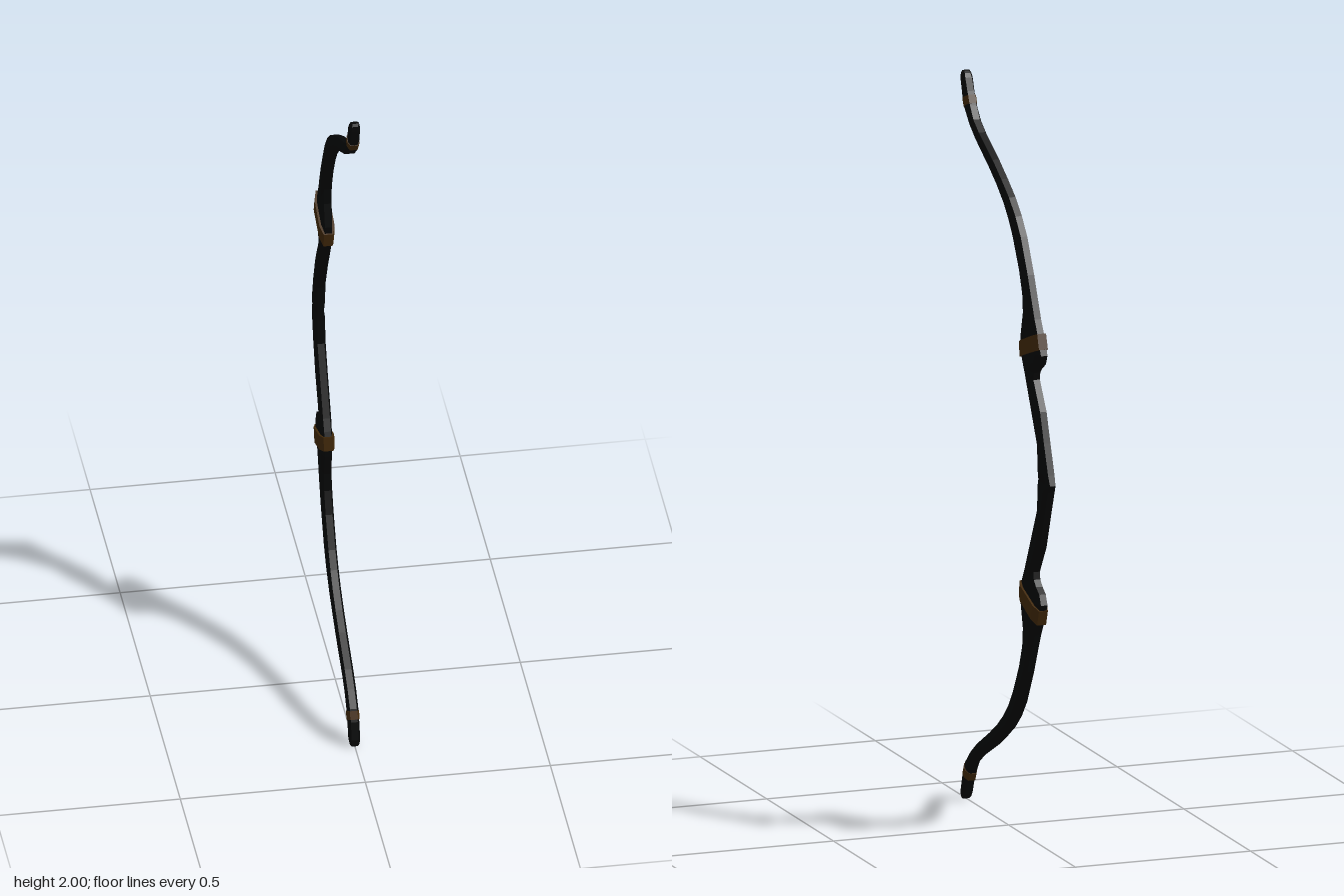
import * as THREE from 'three';

// Skin a chain of bevelled eight-sided sections.
// Each station: [belly z, belly y, back z, back y, half width]
function loft(stations) {
  const pos = [], index = [], n = 8;
  for (const [z0, y0, z1, y1, w] of stations) {
    const bevel = Math.min(0.3, 0.03 / Math.hypot(z1 - z0, y1 - y0));
    const ring = [[0, 0.62], [bevel, 1], [1 - bevel, 1], [1, 0.62],
      [1, -0.62], [1 - bevel, -1], [bevel, -1], [0, -0.62]];
    for (const [t, s] of ring) pos.push(s * w, y0 + (y1 - y0) * t, z0 + (z1 - z0) * t);
  }
  const last = (stations.length - 1) * n;
  for (let i = 0; i < last; i += n) {
    for (let j = 0; j < n; j++) {
      const a = i + j, b = i + (j + 1) % n;
      index.push(a, b, b + n, a, b + n, a + n);
    }
  }
  for (let j = 1; j < n - 1; j++) {
    index.push(0, j + 1, j, last, last + j, last + j + 1);
  }
  const geo = new THREE.BufferGeometry();
  geo.setAttribute('position', new THREE.Float32BufferAttribute(pos, 3));
  geo.setIndex(index);
  const flat = geo.toNonIndexed();
  flat.computeVertexNormals();
  return flat;
}

// Reflect stations downward; the lower half is slightly longer than the upper
const lowerY = (y) => (2 - y) * 1.022;
const mirror = (list) => list.map(([z0, y0, z1, y1, w]) => [z0, lowerY(y0), z1, lowerY(y1), w]).reverse();

export function createModel() {
  const black = new THREE.MeshStandardMaterial({ color: 0x060707, flatShading: true });
  black.name = 'black wood';
  const brown = new THREE.MeshStandardMaterial({ color: 0x432a0a, flatShading: true });
  brown.name = 'brown leather';
  const group = new THREE.Group();
  group.name = 'bow';
  const add = (name, stations, material) => {
    const mesh = new THREE.Mesh(loft(stations), material);
    mesh.name = name;
    group.add(mesh);
  };

  // Half of the grip, from the middle to the shoulder
  const grip = [
    [-0.242, 1.03, -0.32, 1.034, 0.015],
    [-0.237, 1.1, -0.289, 1.115, 0.015],
    [-0.195, 1.18, -0.26, 1.195, 0.015],
    [-0.145, 1.275, -0.21, 1.272, 0.015],
    [-0.127, 1.305, -0.213, 1.292, 0.015],
    [-0.119, 1.32, -0.23, 1.308, 0.015],
    [-0.115, 1.33, -0.254, 1.323, 0.015],
    [-0.113, 1.345, -0.267, 1.35, 0.015],
  ];
  // Limb, from the shoulder to the tip
  const limb = [
    [-0.114, 1.375, -0.24, 1.405, 0.015],
    [-0.131, 1.44, -0.219, 1.44, 0.015],
    [-0.126, 1.49, -0.195, 1.49, 0.015],
    [-0.102, 1.55, -0.167, 1.55, 0.015],
    [-0.055, 1.63, -0.115, 1.643, 0.015],
    [-0.022, 1.672, -0.075, 1.69, 0.015],
    [0.015, 1.708, -0.027, 1.731, 0.015],
    [0.062, 1.743, 0.031, 1.768, 0.015],
    [0.118, 1.777, 0.096, 1.806, 0.015],
    [0.215, 1.83, 0.199, 1.857, 0.015],
    [0.262, 1.862, 0.24, 1.883, 0.015],
    [0.302, 1.898, 0.265, 1.916, 0.015],
    [0.318, 1.93, 0.285, 1.951, 0.015],
    [0.331, 1.978, 0.3, 1.984, 0.015],
    [0.331, 1.993, 0.308, 1.995, 0.013],
    [0.326, 2.0, 0.316, 2.0, 0.01],
  ];
  const upper = [...grip, ...limb];
  add('bowBody', [...mirror(upper), [-0.243, 1.007, -0.331, 1.007, 0.0125], ...upper], black);

  // Bands around the shoulders and tips
  const shoulderBand = [
    [-0.115, 1.315, -0.261, 1.366, 0.0205],
    [-0.11, 1.355, -0.247, 1.407, 0.0205],
  ];
  const tipBand = [
    [0.306, 1.902, 0.267, 1.922, 0.0165],
    [0.316, 1.923, 0.277, 1.943, 0.0165],
  ];
  add('upperShoulderBand', shoulderBand, brown);
  add('lowerShoulderBand', mirror(shoulderBand), brown);
  add('upperTipBand', tipBand, brown);
  add('lowerTipBand', mirror(tipBand), brown);
  return group;
}
